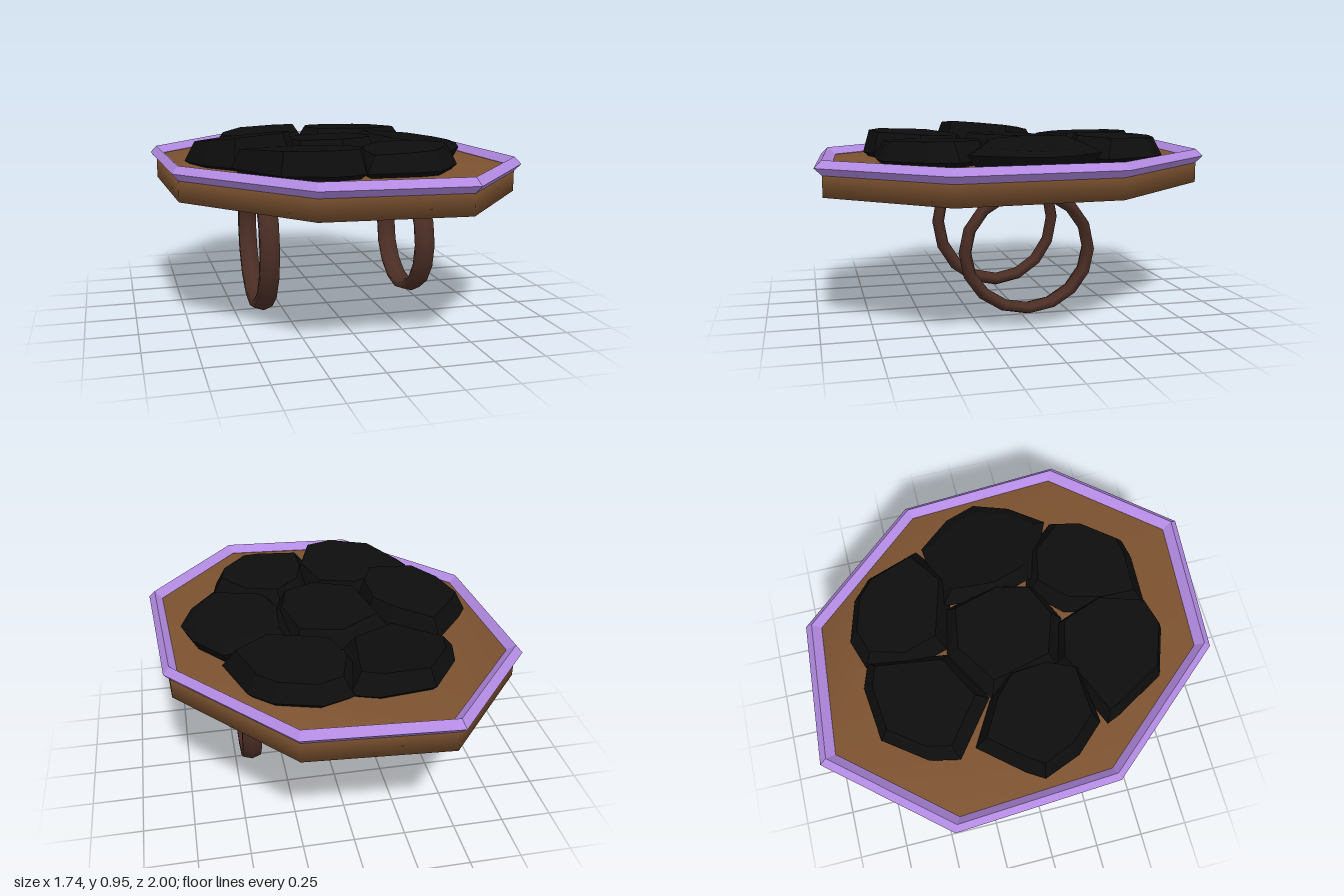
import * as THREE from 'three';
import { ConvexGeometry } from 'three/addons/geometries/ConvexGeometry.js';

const material = (name, color) => {
  const m = new THREE.MeshStandardMaterial({ color });
  m.name = name;
  return m;
};

// Skewed octagon: four corners, the rest by half-turn symmetry
const half = [[-0.41, -1], [0.29, -0.95], [0.82, -0.34], [0.87, 0.46]];
const octagon = [...half, ...half.map(([x, z]) => [-x, -z])];

// Joins scaled octagons [scale, y] into a surface, capped or closed into a ring
function loft(rings, closed) {
  const n = octagon.length, pos = [], idx = [];
  for (const [s, y] of rings) for (const [x, z] of octagon) pos.push(x * s, y, z * s);
  const steps = closed ? rings.length : rings.length - 1;
  for (let r = 0; r < steps; r++) {
    const lo = r * n, hi = ((r + 1) % rings.length) * n;
    for (let i = 0; i < n; i++) {
      const j = (i + 1) % n;
      idx.push(lo + i, hi + i, hi + j, lo + i, hi + j, lo + j);
    }
  }
  if (!closed) {
    const top = (rings.length - 1) * n;
    for (let k = 1; k < n - 1; k++) {
      idx.push(0, k, k + 1, top, top + k + 1, top + k);
    }
  }
  const g = new THREE.BufferGeometry();
  g.setAttribute('position', new THREE.Float32BufferAttribute(pos, 3));
  g.setIndex(idx);
  const out = closed ? g.toNonIndexed() : g;
  out.computeVertexNormals();
  return out;
}

// Faceted lump: outline widest near the floor, with a tilted, smaller top
function lump({ outline, h, ax = 0, az = 0, low = 0.81, inset = 0.8 }) {
  const cx = outline.reduce((s, p) => s + p[0], 0) / outline.length;
  const cz = outline.reduce((s, p) => s + p[1], 0) / outline.length;
  const pts = [];
  for (const [x, z] of outline) {
    const dx = x - cx, dz = z - cz;
    pts.push(new THREE.Vector3(cx + dx * 0.85, 0.775, cz + dz * 0.85));
    pts.push(new THREE.Vector3(x, low, z));
    pts.push(new THREE.Vector3(cx + dx * inset, h + ax * dx + az * dz, cz + dz * inset));
  }
  return new ConvexGeometry(pts);
}

const lumps = [
  { outline: [[-0.55, -0.36], [-0.52, -0.5], [-0.37, -0.7], [-0.1, -0.73], [0.02, -0.69], [-0.03, -0.3], [-0.29, -0.16]], h: 0.89, ax: 0.03, az: -0.02 },
  { outline: [[0.15, -0.75], [0.36, -0.69], [0.46, -0.6], [0.55, -0.34], [0.35, -0.2], [0, -0.3], [-0.06, -0.5], [0, -0.7]], h: 0.9, az: 0.03 },
  { outline: [[0.54, -0.31], [0.67, -0.15], [0.72, 0], [0.66, 0.17], [0.54, 0.33], [0.26, 0.2], [0.19, 0], [0.21, -0.27]], h: 0.885, ax: -0.08, low: 0.845 },
  { outline: [[0, 0.7], [0.26, 0.71], [0.36, 0.69], [0.51, 0.5], [0.54, 0.36], [0.4, 0.19], [0.2, 0.15], [0.05, 0.3], [0, 0.5]], h: 0.895, ax: 0.03 },
  { outline: [[-0.55, 0.35], [-0.52, 0.42], [-0.38, 0.66], [-0.15, 0.74], [0, 0.7], [0.08, 0.47], [0, 0.25], [-0.2, 0.2]], h: 0.905, az: 0.06, inset: 0.88 },
  { outline: [[-0.73, 0], [-0.68, -0.08], [-0.51, -0.28], [-0.3, -0.16], [-0.19, -0.05], [-0.18, 0.15], [-0.25, 0.3], [-0.53, 0.32], [-0.66, 0.18]], h: 0.92, ax: 0.07, az: 0.08, low: 0.8, inset: 0.82 },
  { outline: [[-0.3, -0.15], [-0.05, -0.31], [0.2, -0.27], [0.27, 0], [0.22, 0.19], [0.02, 0.28], [-0.22, 0.2]], h: 0.9, ax: 0.02, az: 0.04 },
];

// Upright rings beneath the tray: x, y, z, horizontal and vertical outer radius
const handles = [
  ['rightRing', -0.368, 0.39, -0.01, 0.364, 0.385],
  ['leftRing', 0.427, 0.373, 0.018, 0.335, 0.313],
];

export function createModel() {
  const wood = material('brown wood', 0x7c5230);
  const trim = material('purple trim', 0xb38be3);
  const leather = material('dark brown', 0x4b2e25);
  const coal = material('black coal', 0x0d0d0d);
  const model = new THREE.Group();
  const add = (name, geometry, mat, parent = model) => {
    const mesh = new THREE.Mesh(geometry, mat);
    mesh.name = name;
    parent.add(mesh);
    return mesh;
  };

  // Tray with softly shaded edges, and its faceted rim
  add('tray', loft([[0.965, 0.655], [0.965, 0.787]], false), wood);
  add('rim', loft([[0.965, 0.755], [1, 0.79], [0.965, 0.825], [0.922, 0.79]], true), trim);

  // Hoops in the y-z plane, flattened along their radius
  const tube = 0.033;
  for (const [name, x, y, z, rz, ry] of handles) {
    const g = new THREE.TorusGeometry(1, tube / 0.33, 6, 16);
    const outer = 1 + tube / 0.33;
    g.scale(rz / outer, ry / outer, 0.0475 / (0.866 * tube / 0.33));
    g.rotateY(Math.PI / 2);
    g.translate(x, y, z);
    add(name, g, leather);
  }

  // Heap of lumps on the tray
  const heap = new THREE.Group();
  heap.name = 'coalHeap';
  lumps.forEach((l, i) => add('lump' + (i + 1), lump(l), coal, heap));
  model.add(heap);
  return model;
}
